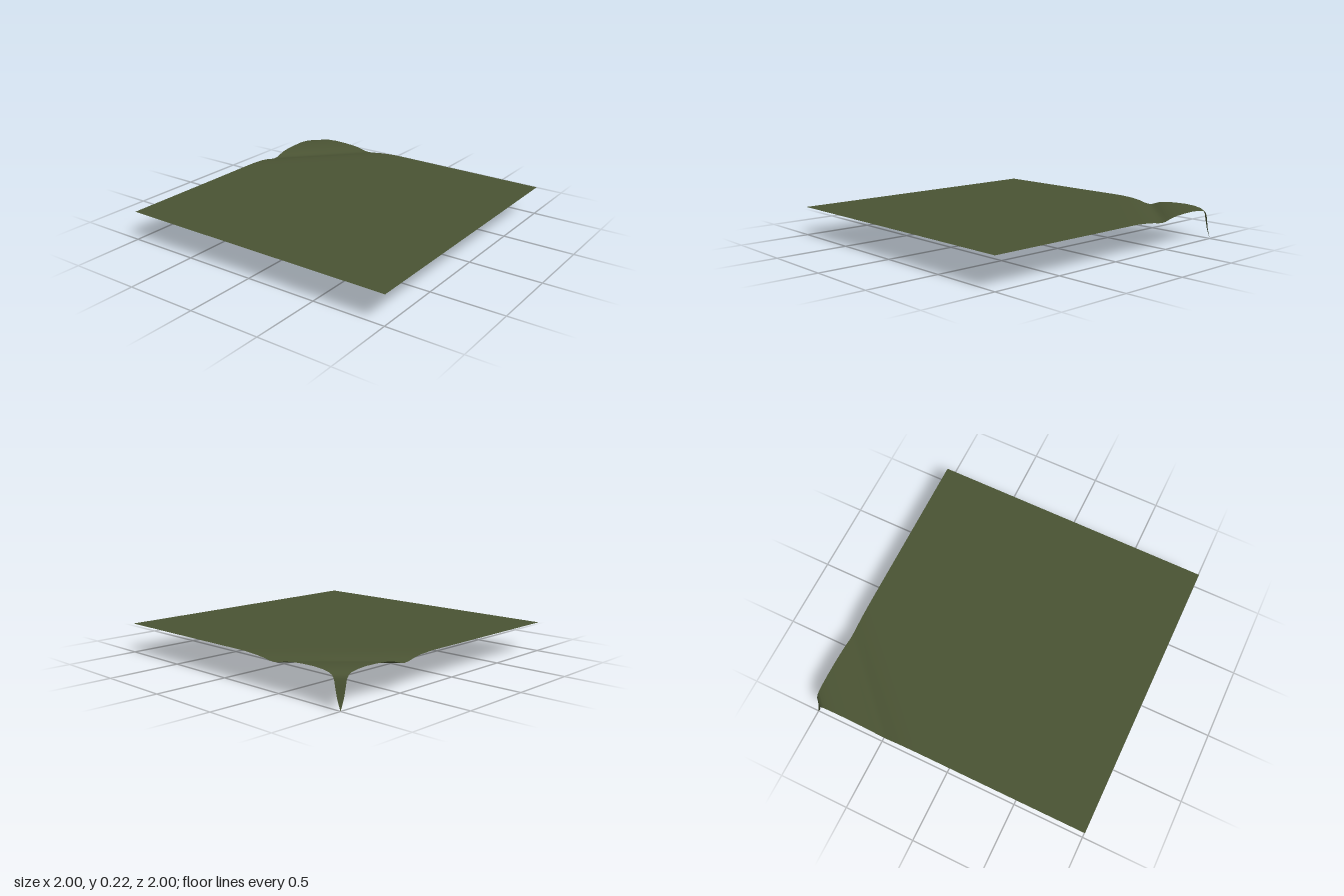
import * as THREE from 'three';

// Height of the cloth by distance s = (x + 1) + (z + 1) from the draped corner
const PROFILE = [
  [0, 0], [0.013, 0.03], [0.027, 0.068], [0.04, 0.125], [0.05, 0.172], [0.065, 0.193],
  [0.09, 0.205], [0.14, 0.213], [0.21, 0.217], [0.3, 0.215], [0.38, 0.21], [0.44, 0.201],
  [0.48, 0.19], [0.51, 0.181], [0.54, 0.178], [0.58, 0.182], [0.63, 0.192], [0.69, 0.2],
  [0.8, 0.206], [0.95, 0.206], [1.2, 0.205], [1.6, 0.204], [2, 0.203], [2.6, 0.202],
  [3.3, 0.201], [4, 0.2],
];
const COLUMNS = 16;

// Square sheet lofted from diagonal cross-sections, corner to corner
function clothGeometry() {
  const positions = [];
  const indices = [];
  PROFILE.forEach(([s, y], row) => {
    const start = s <= 2 ? -1 : s - 3;
    const end = s <= 2 ? s - 1 : 1;
    const fold = Math.exp(-(((s - 0.54) / 0.08) ** 2));
    for (let i = 0; i <= COLUMNS; i++) {
      const t = i / COLUMNS;
      const x = start + (end - start) * t;
      // the fold is a little shallower towards the back edge
      positions.push(x, y + 0.009 * (t - 0.4) * fold, s - 2 - x);
      if (row === PROFILE.length - 1 || i === COLUMNS) continue;
      const a = row * (COLUMNS + 1) + i;
      const b = a + COLUMNS + 1;
      if (row < PROFILE.length - 2) indices.push(a, b, b + 1);
      else indices.push(a, b, a + 1);
      if (row > 0 && row < PROFILE.length - 2) indices.push(a, b + 1, a + 1);
    }
  });
  const geometry = new THREE.BufferGeometry();
  geometry.setAttribute('position', new THREE.Float32BufferAttribute(positions, 3));
  geometry.setIndex(indices);
  geometry.computeVertexNormals();
  return geometry;
}

export function createModel() {
  const model = new THREE.Group();
  model.name = 'drapedCloth';
  const olive = new THREE.MeshStandardMaterial({ color: 0x4a5333, side: THREE.DoubleSide });
  olive.name = 'olive cloth';
  const sheet = new THREE.Mesh(clothGeometry(), olive);
  sheet.name = 'clothSheet';
  model.add(sheet);
  return model;
}
